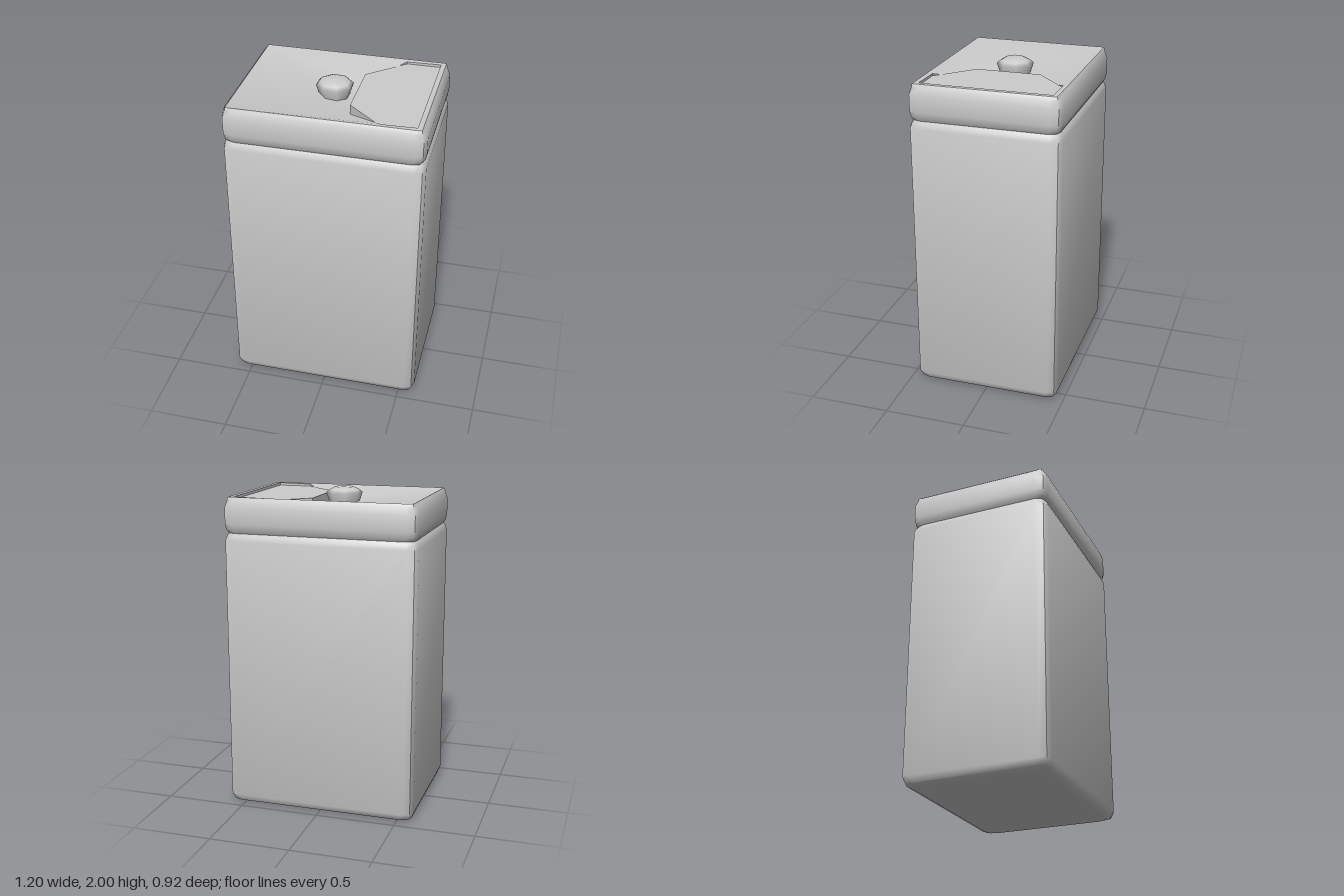
import * as THREE from 'three';
import { toCreasedNormals } from 'three/addons/utils/BufferGeometryUtils.js';

const material = new THREE.MeshStandardMaterial({ color: 0xcccccc });
const v = (x, y, z) => new THREE.Vector3(x, y, z);

function meshFrom(triangles, name, crease) {
  const geo = new THREE.BufferGeometry().setFromPoints(triangles);
  const mesh = new THREE.Mesh(toCreasedNormals(geo, crease), material);
  mesh.name = name;
  return mesh;
}

// Rounded rectangle at height y, inset from the full footprint
function ring(y, inset, corner = 1) {
  const hx = 0.6 - inset, hz = 0.46 - inset, points = [];
  const arc = [[0, 0.06], [0.015, 0.015], [0.06, 0]];
  for (const [sx, sz] of [[1, 1], [-1, 1], [-1, -1], [1, -1]]) {
    const quarter = arc.map(([a, b]) => v(sx * (hx - a * corner), y, sz * (hz - b * corner)));
    points.push(...(sx * sz > 0 ? quarter : quarter.reverse()));
  }
  return points;
}

// Skin between successive rings, with an optional cap under the first
function loft(rings, capped) {
  const tris = [], n = rings[0].length;
  const add = (a, b, c) => {
    if (v(0, 0, 0).crossVectors(b.clone().sub(a), c.clone().sub(a)).length() > 1e-9) tris.push(a, b, c);
  };
  for (let i = 0; i < n; i++) {
    const j = (i + 1) % n;
    if (capped) add(v(0, rings[0][0].y, 0), rings[0][i], rings[0][j]);
    for (let k = 0; k + 1 < rings.length; k++) {
      const lo = rings[k], hi = rings[k + 1];
      add(lo[i], hi[i], lo[j]);
      add(lo[j], hi[i], hi[j]);
    }
  }
  return tris;
}

// Convex polygon wound so that it faces the given direction
function face(points, toward) {
  const normal = v(0, 0, 0).crossVectors(points[1].clone().sub(points[0]), points[2].clone().sub(points[0]));
  const p = normal.dot(toward) < 0 ? [...points].reverse() : points;
  const out = [];
  for (let i = 1; i + 1 < p.length; i++) out.push(p[0], p[i], p[i + 1]);
  return out;
}

export function createModel() {
  const group = new THREE.Group();

  // Tall container body
  const body = [[0.005, 0.05], [0.02, 0.015], [0.06, 0], [1.7, 0], [1.73, 0.009], [1.745, 0.018]];
  group.add(meshFrom(loft(body.map(([y, i]) => ring(y, i)), true), 'body', 0.9));

  // Lid band above the groove, closing in to a square-cornered lip
  const band = [[1.745, 0.018], [1.765, 0.007], [1.8, 0], [1.9, 0], [1.945, 0.013]].map(([y, i]) => ring(y, i));
  group.add(meshFrom(loft([...band, ring(1.962, 0.03, 0)], false), 'lidBand', 0.9));

  // Dished lid top, sinking from the lip toward the inner edge of the flap
  const up = v(0, 1, 0), top = 1.962, flapY = 1.945;
  const corner = (sx, sz) => v(sx * 0.57, top, sz * 0.43);
  const low = s => v(0.11, 1.885, s * 0.2);
  const shoulder = s => v(0.33, top - 0.004, s * 0.4);
  const end = s => v(0.54, top, s * 0.4);
  const dish = face([corner(-1, -1), corner(-1, 1), low(1), low(-1)], up);
  dish.push(...face([corner(1, -1), corner(1, 1), end(1), end(-1)], up));
  for (const s of [-1, 1]) {
    dish.push(
      ...face([corner(-1, s), low(s), shoulder(s)], up),
      ...face([corner(-1, s), shoulder(s), corner(1, s)], up),
      ...face([corner(1, s), shoulder(s), end(s)], up)
    );
  }
  group.add(meshFrom(dish, 'lidTop', 0.6));

  // Shallow step around the outer edges of the flap
  const down = p => v(p.x, flapY - 0.005, p.z);
  const step = face([end(-1), end(1), down(end(1)), down(end(-1))], v(-1, 0, 0));
  for (const s of [-1, 1]) {
    step.push(...face([end(s), shoulder(s), down(shoulder(s)), down(end(s))], v(0, 0, -s)));
  }
  group.add(meshFrom(step, 'flapRecess', 0.5));

  // Flat flap with two clipped corners
  const outline = [[0.11, -0.2], [0.33, -0.4], [0.54, -0.4], [0.54, 0.4], [0.33, 0.4], [0.11, 0.2]];
  const shape = new THREE.Shape(outline.map(([x, z]) => new THREE.Vector2(x, z)));
  const flapGeo = new THREE.ExtrudeGeometry(shape, { depth: 0.07, bevelEnabled: false });
  const flap = new THREE.Mesh(flapGeo, material);
  flap.name = 'flap';
  flap.rotation.x = -Math.PI / 2;
  flap.position.y = flapY - 0.07;
  group.add(flap);

  // Eight-sided domed button
  const profile = [[0.085, 1.88], [0.113, 1.964], [0.092, 1.982], [0.058, 1.998], [0, 2]];
  const button = new THREE.Mesh(
    new THREE.LatheGeometry(profile.map(([r, y]) => new THREE.Vector2(r, y)), 8, THREE.MathUtils.degToRad(20)),
    material
  );
  button.name = 'button';
  button.position.x = -0.03;
  group.add(button);

  return group;
}
